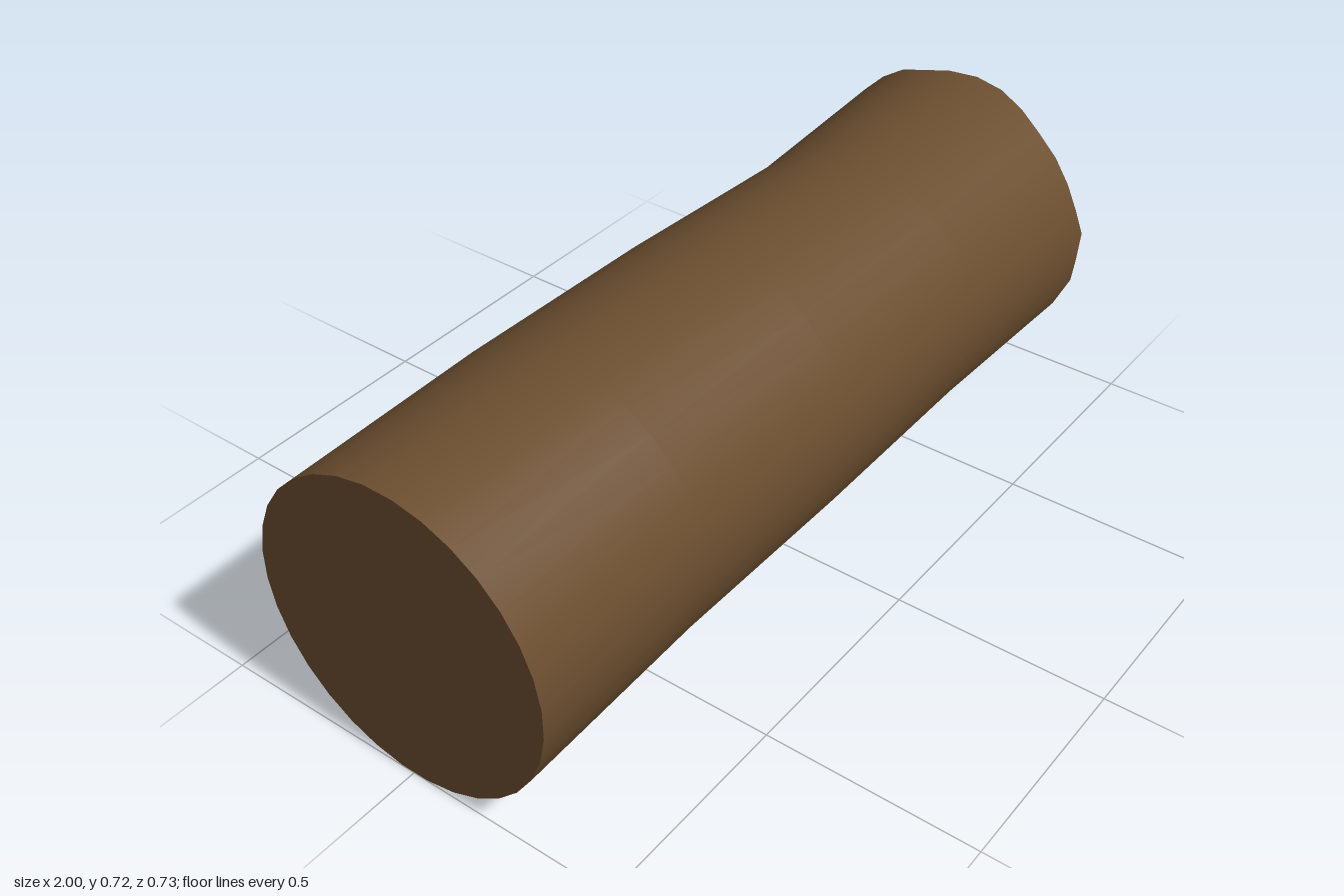
import * as THREE from 'three';

const SIDES = 32;

// How far each rim corner is chipped back, from the top round through the front
const CHIPS = [
  0, 0, 0.012, 0.025, 0.025, 0.025, 0.02, 0, 0.014, 0, 0.027, 0, 0.004, 0.012, 0.01, 0.008,
  0.01, 0.025, 0.008, 0.004, 0, 0.025, 0.01, 0, 0.012, 0, 0.004, 0, 0, 0.004, 0.025, 0.012,
];

// One cross-section of the log: a 32-sided ring around the x axis
function ring({ x, r, y = 0.365, z = 0.006, chipped = false }) {
  return CHIPS.map((chip, i) => {
    const a = ((i + 0.5) / SIDES) * Math.PI * 2;
    return [x - (chipped ? chip : 0), y + r * Math.cos(a), z + r * Math.sin(a)];
  });
}

// Smooth skin through a row of rings
function loft(rings) {
  const index = [];
  for (let k = 0; k < rings.length - 1; k++) {
    for (let i = 0; i < SIDES; i++) {
      const j = (i + 1) % SIDES;
      const a = k * SIDES + i, b = k * SIDES + j;
      index.push(a, b, b + SIDES, a, b + SIDES, a + SIDES);
    }
  }
  return build(rings.flat(), index);
}

// Flat disc closing a ring, facing +x or -x
function disc(points, facing) {
  const index = [];
  for (let i = 1; i < SIDES - 1; i++) {
    index.push(0, ...(facing > 0 ? [i, i + 1] : [i + 1, i]));
  }
  return build(points, index);
}

function build(points, index) {
  const g = new THREE.BufferGeometry();
  g.setAttribute('position', new THREE.Float32BufferAttribute(points.flat(), 3));
  g.setIndex(index);
  g.computeVertexNormals();
  return g;
}

export function createModel() {
  const wood = new THREE.MeshStandardMaterial({ color: 0x6b4e30 });
  wood.name = 'brown wood';

  const log = new THREE.Group();
  log.name = 'hollowLog';
  const add = (name, geometry) => {
    const mesh = new THREE.Mesh(geometry, wood);
    mesh.name = name;
    log.add(mesh);
  };

  const baseEnd = ring({ x: -1, r: 0.361, z: 0.003 });
  const rimOuter = ring({ x: 1, r: 0.362, chipped: true });
  const rimInner = ring({ x: 1, r: 0.325, chipped: true });
  const floor = ring({ x: 0.955, r: 0.299, y: 0.364 });

  // Gently bent bark
  add('bark', loft([
    baseEnd,
    ring({ x: -0.5, r: 0.36, y: 0.3625, z: -0.01 }),
    ring({ x: 0, r: 0.357, y: 0.366, z: 0.002 }),
    ring({ x: 0.5, r: 0.343, y: 0.37, z: 0.018 }),
    rimOuter,
  ]));

  // Chipped rim and shallow hollow at the left end
  add('brokenRim', loft([rimOuter, rimInner]));
  add('hollowWall', loft([rimInner, floor]));
  add('hollowFloor', disc(floor, 1));

  // Clean cut at the right end
  add('cutEnd', disc(baseEnd, -1));

  return log;
}
